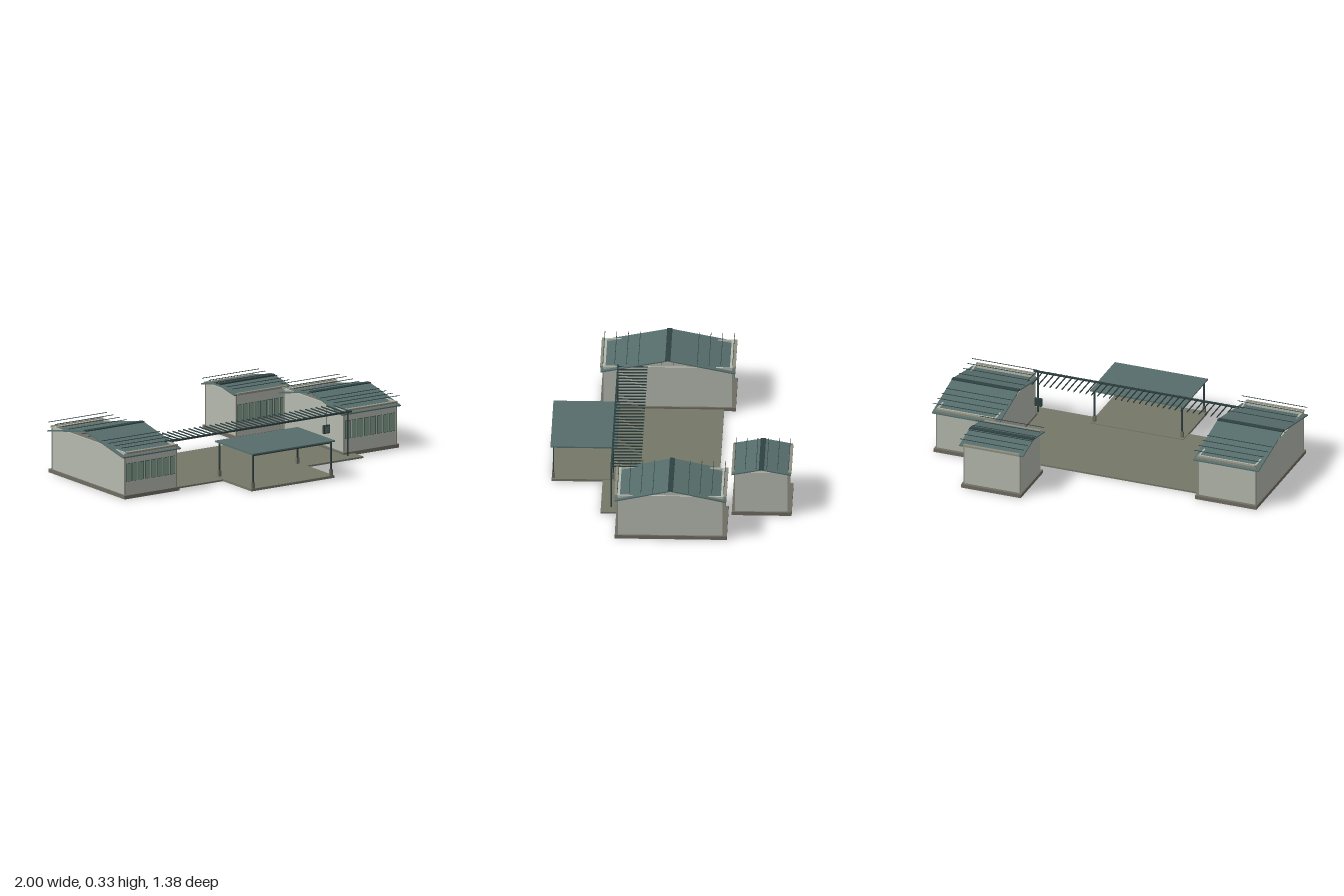
import * as THREE from 'three';

const mat = (color) => new THREE.MeshStandardMaterial({ color, flatShading: true });
const M = {
  wall: mat(0xb4b9ae), base: mat(0x6f6c62), paving: mat(0x747868), roof: mat(0x566d6b),
  metal: mat(0x2f4141), glass: mat(0x7f9c8d), trim: mat(0x8d8d80),
};

// Box given by its min and max along each axis
function box(parent, name, material, x0, x1, y0, y1, z0, z1) {
  const mesh = new THREE.Mesh(new THREE.BoxGeometry(x1 - x0, y1 - y0, z1 - z0), material);
  mesh.position.set((x0 + x1) / 2, (y0 + y1) / 2, (z0 + z1) / 2);
  mesh.name = name;
  parent.add(mesh);
  return mesh;
}

// Pitched slab from an eave to the ridge, extruded along x
function roofSlope(parent, x0, x1, zEave, yEave, zRidge, yRidge) {
  const t = 0.007;
  const shape = new THREE.Shape();
  shape.moveTo(-zEave, yEave - t);
  shape.lineTo(-zRidge, yRidge - t);
  shape.lineTo(-zRidge, yRidge);
  shape.lineTo(-zEave, yEave);
  const geo = new THREE.ExtrudeGeometry(shape, { depth: x1 - x0, bevelEnabled: false });
  geo.rotateY(Math.PI / 2);
  const mesh = new THREE.Mesh(geo, M.roof);
  mesh.position.x = x0;
  mesh.name = 'roofSlope';
  parent.add(mesh);
}

// Pavilion: plinth, four thin walls, front windows and a gable roof
function pavilion(name, { x0, x1, z0, z1, ridge, eave, seams }) {
  const g = new THREE.Group();
  g.name = name;
  const wx0 = x0 + 0.023, wx1 = x1 - 0.023, wz0 = z0 + 0.017, wz1 = z1 - 0.015;
  const top = 0.27, thick = 0.014;
  box(g, 'plinth', M.base, x0 + 0.012, x1 - 0.012, 0, 0.021, z0 - 0.003, z1);
  box(g, 'backWall', M.wall, wx0, wx1, 0.02, top, wz0, wz0 + thick);
  box(g, 'frontWall', M.wall, wx0, wx1, 0.02, top, wz1 - thick, wz1);
  box(g, 'sideWall', M.wall, wx0, wx0 + 0.01, 0.02, top, wz0, wz1);
  box(g, 'sideWall', M.wall, wx1 - 0.01, wx1, 0.02, top, wz0, wz1);
  // Eave beams
  box(g, 'eaveBeam', M.trim, wx0, wx1, 0.262, 0.273, z0 - 0.002, wz0);
  box(g, 'eaveBeam', M.trim, wx0, wx1, 0.262, 0.273, wz1, z1 + 0.002);
  // Corner trim
  for (const x of [wx0, wx1])
    for (const z of [wz0, wz1])
      box(g, 'cornerTrim', M.trim, x - 0.003, x + 0.003, 0.02, 0.262, z - 0.003, z + 0.003);
  // Window row
  const count = 8, pitch = (wx1 - wx0 - 0.01) / count;
  for (let i = 0; i < count; i++) {
    const cx = wx0 + 0.005 + pitch * (i + 0.5);
    const w = pitch * 0.41;
    box(g, 'windowFrame', M.metal, cx - w, cx + w, 0.098, 0.205, wz1, wz1 + 0.002);
    box(g, 'windowPane', M.glass, cx - w + 0.002, cx + w - 0.002, 0.1, 0.203, wz1, wz1 + 0.003);
  }
  // Roof, ridge cap and the level rods across it
  const zr = (z0 + z1) / 2;
  roofSlope(g, x0, x1, z1, eave, zr, ridge);
  roofSlope(g, x0, x1, z0, eave, zr, ridge);
  box(g, 'ridgeCap', M.metal, x0, x1, ridge - 0.005, ridge + 0.002, zr - 0.015, zr + 0.015);
  for (let i = 0; i < seams; i++) {
    const z = z0 + 0.015 + ((z1 - z0 - 0.03) * i) / (seams - 1);
    box(g, 'roofRod', M.metal, x0, x1, 0.2985, 0.3015, z - 0.0015, z + 0.0015);
  }
  return g;
}

// Open canopy on four footed posts
function canopy() {
  const g = new THREE.Group();
  g.name = 'canopy';
  box(g, 'canopyFloor', M.paving, -0.285, 0.285, 0, 0.014, 0.31, 0.685);
  box(g, 'canopyRoof', M.roof, -0.285, 0.285, 0.213, 0.221, 0.312, 0.692);
  for (const z of [0.335, 0.675]) {
    box(g, 'canopyBeam', M.metal, -0.272, 0.272, 0.203, 0.213, z - 0.004, z + 0.004);
    for (const x of [-0.268, 0.268]) {
      box(g, 'postFoot', M.base, x - 0.008, x + 0.008, 0.014, 0.05, z - 0.008, z + 0.008);
      box(g, 'canopyPost', M.metal, x - 0.004, x + 0.004, 0.05, 0.213, z - 0.004, z + 0.004);
    }
  }
  return g;
}

// Slatted pergola between the two large pavilions
function pergola() {
  const g = new THREE.Group();
  g.name = 'pergola';
  box(g, 'pergolaBeam', M.metal, -0.645, 0.64, 0.262, 0.272, 0.33, 0.34);
  for (const x of [-0.614, 0.614])
    box(g, 'pergolaPost', M.metal, x - 0.004, x + 0.004, 0.01, 0.265, 0.331, 0.339);
  const count = 35;
  for (let i = 0; i < count; i++) {
    const x = -0.62 + (1.24 * i) / (count - 1);
    box(g, 'pergolaSlat', M.metal, x - 0.002, x + 0.002, 0.268, 0.275, 0.165, 0.338);
  }
  return g;
}

// Small box hanging on a rod under the pergola
function hangingBox() {
  const g = new THREE.Group();
  g.name = 'hangingBox';
  box(g, 'boxBody', M.metal, 0.537, 0.579, 0.122, 0.17, 0.193, 0.208);
  box(g, 'boxFace', M.roof, 0.543, 0.573, 0.128, 0.164, 0.206, 0.21);
  box(g, 'hangingRod', M.metal, 0.557, 0.56, 0.17, 0.27, 0.199, 0.202);
  return g;
}

export function createModel() {
  const model = new THREE.Group();
  model.name = 'pavilionCourt';
  box(model, 'courtyardSlab', M.paving, -0.68, 0.68, 0, 0.01, -0.27, 0.395);
  model.add(
    pavilion('rightPavilion', { x0: -1, x1: -0.6, z0: -0.333, z1: 0.435, ridge: 0.325, eave: 0.248, seams: 12 }),
    pavilion('leftPavilion', { x0: 0.593, x1: 1, z0: -0.33, z1: 0.305, ridge: 0.316, eave: 0.248, seams: 10 }),
    pavilion('rearPavilion', { x0: 0.3, x1: 0.69, z0: -0.69, z1: -0.352, ridge: 0.3, eave: 0.268, seams: 6 }),
    canopy(), pergola(), hangingBox(),
  );
  return model;
}
